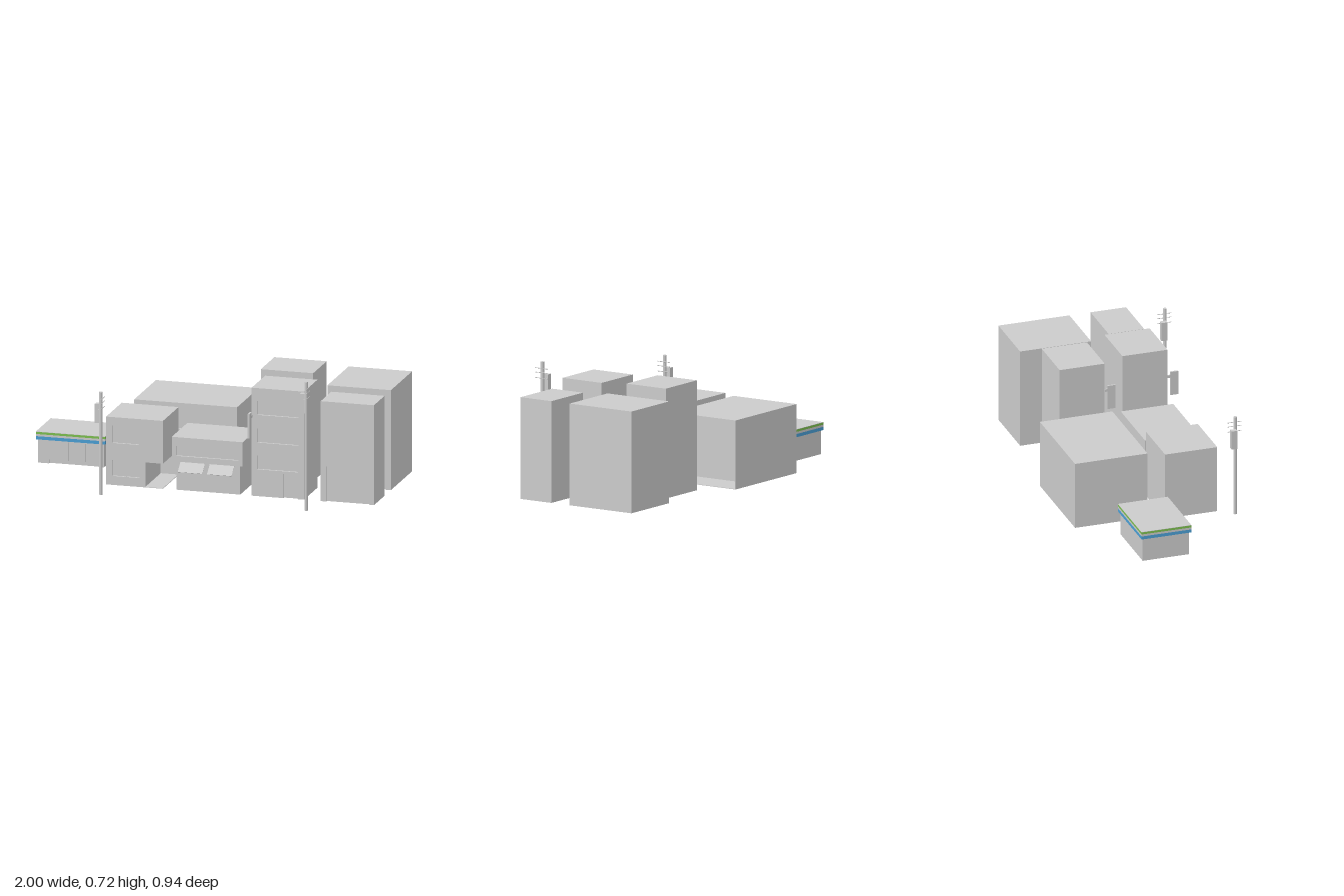
import * as THREE from 'three';

const grey = new THREE.MeshStandardMaterial({ color: 0xcccccc });
const green = new THREE.MeshStandardMaterial({ color: 0x7cbf4e });
const blue = new THREE.MeshStandardMaterial({ color: 0x4a9fd4 });
const sheet = new THREE.MeshStandardMaterial({ color: 0xcccccc, side: THREE.DoubleSide });

const BASE = 0.03;      // height the buildings rest at
const RECESS = 0.012;   // depth of windows and doors

function add(group, name, geometry, material = grey) {
  const mesh = new THREE.Mesh(geometry, material);
  mesh.name = name;
  group.add(mesh);
  return mesh;
}

// Box given by its limits
function box(group, name, x0, x1, y0, y1, z0, z1, material = grey) {
  const mesh = add(group, name, new THREE.BoxGeometry(x1 - x0, y1 - y0, z1 - z0), material);
  mesh.position.set((x0 + x1) / 2, (y0 + y1) / 2, (z0 + z1) / 2);
  return mesh;
}

// Window opening with slightly rounded corners
function roundedHole(x0, x1, y0, y1, r = 0.007) {
  const p = new THREE.Path();
  p.moveTo(x0 + r, y0);
  p.lineTo(x1 - r, y0);
  p.quadraticCurveTo(x1, y0, x1, y0 + r);
  p.lineTo(x1, y1 - r);
  p.quadraticCurveTo(x1, y1, x1 - r, y1);
  p.lineTo(x0 + r, y1);
  p.quadraticCurveTo(x0, y1, x0, y1 - r);
  p.lineTo(x0, y0 + r);
  p.quadraticCurveTo(x0, y0, x0 + r, y0);
  return p;
}

// Front wall: outline points, with window openings cut through to the core
function facade(group, outline, windows, zFront) {
  const shape = new THREE.Shape(outline.map(([x, y]) => new THREE.Vector2(x, y)));
  windows.forEach((w) => shape.holes.push(roundedHole(...w)));
  const geo = new THREE.ExtrudeGeometry(shape, { depth: RECESS, bevelEnabled: false, curveSegments: 4 });
  add(group, 'facade', geo).position.z = zFront - RECESS;
}

// Outline of a front wall with a doorway notch from the ground
const doorOutline = (x0, x1, top, d0, d1, dTop) => [
  [x0, BASE], [d0, BASE], [d0, dTop], [d1, dTop], [d1, BASE], [x1, BASE], [x1, top], [x0, top],
];

// Two-storey house with an open passage under its left end
function house(x0, x1, z0, z1) {
  const g = new THREE.Group();
  g.name = 'house';
  const at = (t) => x0 + t * (x1 - x0);
  const top = 0.41, ceiling = 0.17, px = at(0.69), back = z1 - RECESS;
  box(g, 'upperFloor', x0, x1, ceiling, top, z0, back);
  box(g, 'groundFloor', x0, px, BASE, ceiling, z0, back);
  box(g, 'passageFloor', px, x1, BASE, BASE + 0.003, z0, z1);
  box(g, 'passageBackWall', px, x1, BASE, ceiling, z0, z0 + 0.003);
  const rows = [[0.08, 0.17], [0.265, 0.365]];
  const outline = [[x0, BASE], [px, BASE], [px, ceiling], [x1, ceiling], [x1, top], [x0, top]];
  facade(g, outline, rows.map(([a, b]) => [at(0.11), at(0.59), a, b]), z1);
  for (const [a, b] of rows) {
    box(g, 'windowMullion', at(0.34), at(0.36), a, b, back, z1 - 0.005);
  }
  return g;
}

// Four-storey block with window strips, a door and a hanging sign
function apartment(x0, z0, z1) {
  const g = new THREE.Group();
  g.name = 'apartmentBlock';
  const x1 = x0 + 0.295, top = 0.635;
  box(g, 'core', x0, x1, BASE, top, z0, z1 - RECESS);
  const windows = [0.18, 0.33, 0.485].map((y) => [x0 + 0.03, x0 + 0.265, y, y + 0.08]);
  facade(g, doorOutline(x0, x1, top, x0 + 0.18, x0 + 0.26, 0.165), windows, z1);
  box(g, 'hangingSign', x0 - 0.005, x0 + 0.005, 0.365, 0.502, z1 + 0.015, z1 + 0.06);
  box(g, 'signBracket', x0 - 0.003, x0 + 0.004, 0.468, 0.483, z1 - 0.003, z1 + 0.016);
  return g;
}

// Tall block with a wide garage opening
function garageBlock(x0, x1, z0, z1) {
  const g = new THREE.Group();
  g.name = 'garageBlock';
  const w = x1 - x0, top = 0.59;
  box(g, 'core', x0, x1, BASE, top, z0, z1 - RECESS);
  facade(g, doorOutline(x0, x1, top, x0 + w * 0.1, x0 + w * 0.915, 0.225), [], z1);
  return g;
}

// Small shop with an overhanging upper floor and two awnings
function shop() {
  const g = new THREE.Group();
  g.name = 'shop';
  box(g, 'groundFloor', -0.115, 0.245, BASE, 0.195, 0.07, 0.325);
  box(g, 'upperFloor', -0.135, 0.265, 0.193, 0.33, 0.045, 0.345 - RECESS);
  facade(g, [[-0.135, 0.193], [0.265, 0.193], [0.265, 0.33], [-0.135, 0.33]],
    [[-0.112, 0.242, 0.225, 0.28, 0.004]], 0.345);
  for (const x of [-0.02, 0.145]) {
    const awning = add(g, 'awning', new THREE.BoxGeometry(0.138, 0.002, 0.075), sheet);
    awning.position.set(x, 0.17, 0.358);
    awning.rotation.x = Math.atan2(0.04, 0.05);
  }
  return g;
}

// Low store with a striped fascia and a glazed front
function store() {
  const g = new THREE.Group();
  g.name = 'cornerStore';
  const front = 0.0;
  box(g, 'body', -0.99, -0.62, BASE, 0.162, -0.265, front - RECESS);
  facade(g, doorOutline(-0.99, -0.62, 0.162, -0.93, -0.65, 0.155), [], front);
  for (const [a, b] of [[-0.93, -0.82], [-0.805, -0.728], [-0.724, -0.65]]) {
    box(g, 'glassPanel', a, b, 0.05, 0.155, front - RECESS, front - 0.006);
  }
  const bands = [['blueBand', 0.162, 0.18, blue], ['middleBand', 0.18, 0.192, grey],
    ['greenBand', 0.192, 0.204, green], ['roof', 0.204, 0.206, grey]];
  for (const [name, a, b, m] of bands) box(g, name, -1, -0.61, a, b, -0.275, 0.01, m);
  return g;
}

// Utility pole with thin cross arms and a transformer box
function utilityPole(x, height) {
  const g = new THREE.Group();
  g.name = 'utilityPole';
  g.position.set(x, 0, 0.43);
  const pole = add(g, 'pole', new THREE.CylinderGeometry(0.01, 0.01, height, 12));
  pole.position.y = height / 2;
  for (const drop of [0.036, 0.06, 0.09]) {
    const arm = add(g, 'crossArm', new THREE.CylinderGeometry(0.002, 0.002, 0.08, 6));
    arm.rotation.x = Math.PI / 2;
    arm.position.set(0.01, height - drop, 0);
  }
  box(g, 'transformerBox', -0.034, -0.008, height - 0.176, height - 0.069, -0.031, 0.002);
  box(g, 'transformerMount', -0.014, 0, height - 0.145, height - 0.1, -0.008, 0.006);
  return g;
}

export function createModel() {
  const model = new THREE.Group();
  model.name = 'townBlock';
  model.add(
    store(),
    house(-0.51, -0.19, 0.03, 0.328),
    house(-0.465, 0.115, -0.47, -0.055),
    shop(),
    apartment(0.31, 0.07, 0.328),
    apartment(0.25, -0.31, -0.052),
    garageBlock(0.7, 1, 0.127, 0.33),
    garageBlock(0.642, 1, -0.4, 0.006),
    utilityPole(-0.51, 0.575),
    utilityPole(0.647, 0.72),
  );
  return model;
}
